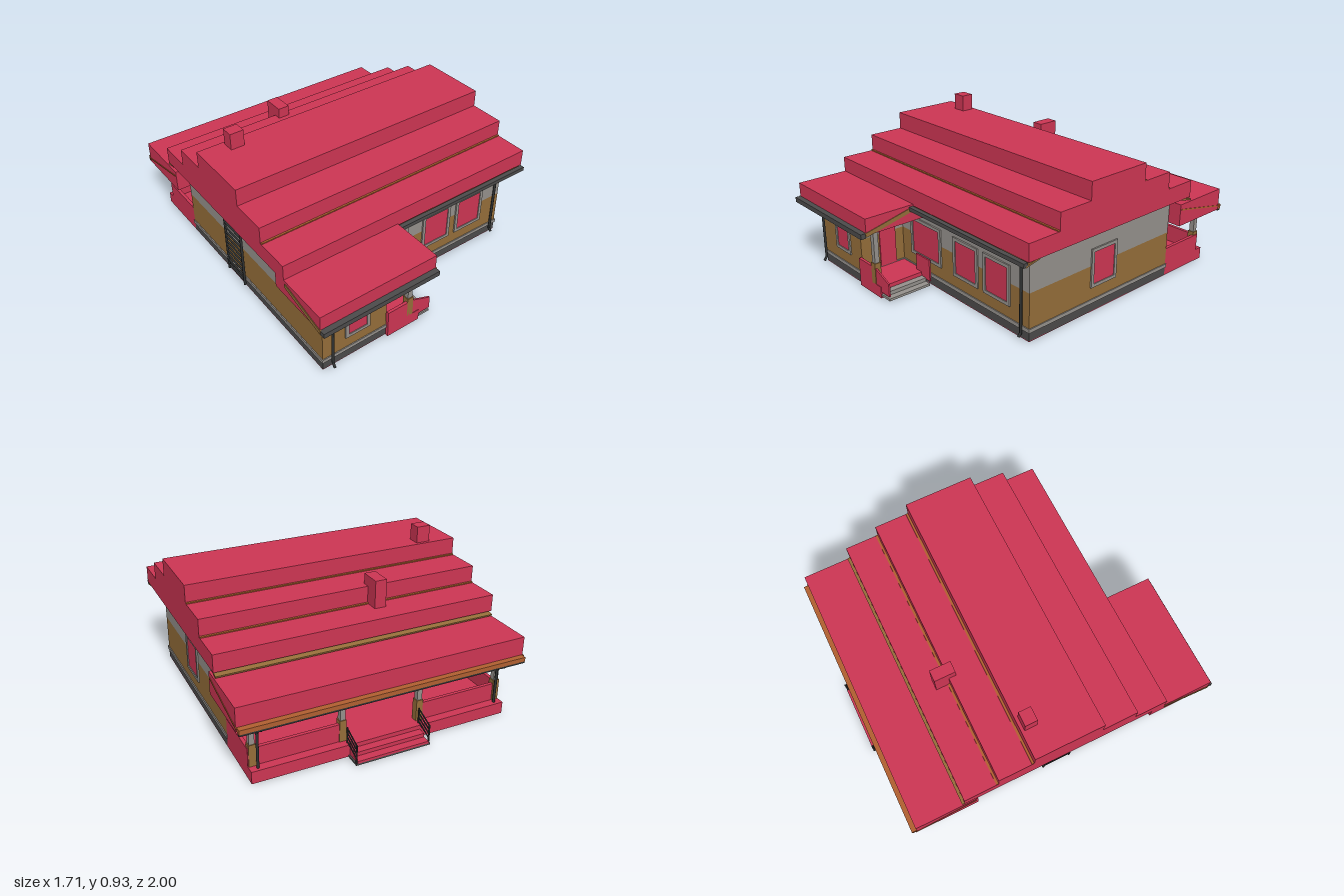
import * as THREE from 'three';

const mat = (name, color) => {
  const m = new THREE.MeshStandardMaterial({ color });
  m.name = name;
  return m;
};

export function createModel() {
  const model = new THREE.Group();
  model.name = 'house';
  const red = mat('crimson', 0xcc3553);
  const grey = mat('warmGrey', 0x94908b);
  const brown = mat('ochreBrown', 0x946d39);
  const dark = mat('foundationGrey', 0x4b4a4a);
  const black = mat('metalBlack', 0x2e3030);
  const orange = mat('timberOrange', 0xb05f30);

  // Box from its limits on each axis
  const box = (name, m, x0, x1, y0, y1, z0, z1, parent = model) => {
    const mesh = new THREE.Mesh(new THREE.BoxGeometry(x1 - x0, y1 - y0, z1 - z0), m);
    mesh.position.set((x0 + x1) / 2, (y0 + y1) / 2, (z0 + z1) / 2);
    mesh.name = name;
    parent.add(mesh);
    return mesh;
  };
  // Round bar between two points
  const bar = (name, a, b, r, parent = model) => {
    const p = new THREE.Vector3(...a), q = new THREE.Vector3(...b);
    const d = q.clone().sub(p);
    const mesh = new THREE.Mesh(new THREE.CylinderGeometry(r, r, d.length(), 8), black);
    mesh.position.copy(p).add(q).multiplyScalar(0.5);
    mesh.quaternion.setFromUnitVectors(new THREE.Vector3(0, 1, 0), d.normalize());
    mesh.name = name;
    parent.add(mesh);
  };
  // Chain of bars in a plane of constant x, points are [z, y]
  const pipe = (name, x, pts, r) => {
    const g = new THREE.Group();
    g.name = name;
    for (let i = 0; i + 1 < pts.length; i++) {
      bar(name + 'Section', [x, pts[i][1], pts[i][0]], [x, pts[i + 1][1], pts[i + 1][0]], r, g);
    }
    model.add(g);
  };
  // Plank sloping in z from (z0, y0) to (z1, y1)
  const slope = (name, m, x0, x1, z0, y0, z1, y1, t) => {
    const mesh = new THREE.Mesh(
      new THREE.BoxGeometry(x1 - x0, t, Math.hypot(z1 - z0, y1 - y0)), m);
    mesh.position.set((x0 + x1) / 2, (y0 + y1) / 2, (z0 + z1) / 2);
    mesh.rotation.x = -Math.atan2(y1 - y0, z1 - z0);
    mesh.name = name;
    model.add(mesh);
  };
  // Framed opening facing +z around its own centre, then turned
  const opening = (name, w, h, x, y, z, turn = 0) => {
    const g = new THREE.Group(), f = 0.02, a = w / 2, b = h / 2;
    g.name = name;
    box('pane', red, -a, a, -b, b, 0, 0.004, g);
    for (const s of [-1, 1]) {
      box('frameSide', grey, s * (a + f / 2) - f / 2, s * (a + f / 2) + f / 2, -b - f, b + f, 0, 0.009, g);
      box('frameRail', grey, -a, a, s * (b + f / 2) - f / 2, s * (b + f / 2) + f / 2, 0, 0.009, g);
    }
    g.position.set(x, y, z);
    g.rotation.y = turn;
    model.add(g);
  };

  // Banded walls of the main block and the front annex
  const walls = (name, x0, x1, z0, z1, top) => {
    const g = new THREE.Group();
    g.name = name;
    box('underside', red, x0, x1, 0, 0.004, z0, z1, g);
    box('foundation', dark, x0, x1, 0.004, 0.055, z0, z1, g);
    box('plinthTrim', grey, x0 - 0.006, x1 + 0.006, 0.055, 0.078, z0 - 0.006, z1 + 0.006, g);
    box('lowerWall', brown, x0, x1, 0.078, 0.285, z0, z1, g);
    box('upperWall', grey, x0, x1, 0.285, top, z0, z1, g);
    model.add(g);
  };
  walls('mainBlock', -0.77, 0.77, -0.55, 0.57, 0.52);
  walls('frontAnnex', -0.77, -0.35, 0.57, 0.865, 0.45);

  // Windows and doors
  opening('annexWindow', 0.12, 0.2, -0.545, 0.27, 0.865);
  opening('wideWindow', 0.25, 0.2, -0.11, 0.27, 0.57);
  opening('frontWindow', 0.175, 0.2, 0.257, 0.27, 0.57);
  opening('frontWindow', 0.175, 0.2, 0.518, 0.27, 0.57);
  opening('sideWindow', 0.165, 0.195, 0.77, 0.27, 0.013, Math.PI / 2);
  box('porchDoor', red, -0.35, -0.343, 0.075, 0.315, 0.63, 0.74);
  opening('backDoor', 0.13, 0.24, 0, 0.2, -0.55, Math.PI);

  // Stepped roof
  box('lowerRoofTier', red, -0.85, 0.85, 0.515, 0.617, -0.63, 0.65);
  box('middleRoofTier', red, -0.85, 0.85, 0.617, 0.72, -0.42, 0.44);
  box('upperRoofTier', red, -0.85, 0.85, 0.72, 0.825, -0.205, 0.22);
  for (const [z, y] of [[0.444, 0.617], [-0.427, 0.617], [-0.212, 0.72]]) {
    box('roofSeam', orange, -0.848, 0.848, y, y + 0.006, z - 0.007, z + 0.007);
  }
  slope('frontSoffit', brown, -0.11, 0.845, 0.57, 0.513, 0.665, 0.493, 0.01);
  slope('backSoffit', brown, -0.845, 0.845, -0.645, 0.495, -0.55, 0.515, 0.01);
  box('tallChimney', red, -0.685, -0.6, 0.825, 0.925, -0.185, -0.11);
  box('lowChimney', red, -0.21, -0.14, 0.617, 0.783, -0.505, -0.375);

  // Front porch roof and veranda roof, with barge boards on the ends
  box('porchRoof', red, -0.85, -0.11, 0.425, 0.525, 0.57, 0.967);
  for (const x of [-0.85, -0.11]) {
    slope('porchBargeBoard', brown, x - 0.004, x + 0.004, 0.66, 0.498, 0.97, 0.428, 0.025);
  }
  box('verandaRoof', red, -0.85, 0.85, 0.35, 0.485, -0.935, -0.55);
  for (const x of [-0.85, 0.85]) {
    slope('verandaBargeBoard', orange, x - 0.003, x + 0.003, -0.945, 0.372, -0.56, 0.452, 0.008);
  }
  box('verandaFascia', orange, -0.845, 0.845, 0.35, 0.375, -0.968, -0.935);
  box('backGutter', black, -0.845, 0.845, 0.338, 0.35, -0.965, -0.943);
  box('porchGutter', dark, -0.85, -0.11, 0.41, 0.44, 0.967, 1);
  box('frontGutter', dark, -0.11, 0.845, 0.492, 0.515, 0.652, 0.68);

  // Downpipes
  pipe('frontDownpipe', 0.72, [[0.668, 0.5], [0.6, 0.455], [0.583, 0.44], [0.583, 0.04], [0.6, 0.02]], 0.008);
  pipe('annexDownpipe', -0.725, [[0.985, 0.42], [0.975, 0.4], [0.905, 0.37], [0.895, 0.35], [0.895, 0.055], [0.912, 0.03]], 0.008);
  for (const x of [-0.725, 0.725]) {
    pipe('backDownpipe', x, [[-0.952, 0.35], [-0.945, 0.33], [-0.895, 0.3], [-0.885, 0.28], [-0.885, 0.07]], 0.008);
  }

  // Two-tone posts
  const post = (name, x, z) => {
    box(name + 'Base', brown, x - 0.02, x + 0.02, 0.07, 0.2, z - 0.02, z + 0.02);
    box(name + 'Shaft', grey, x - 0.015, x + 0.015, 0.2, 0.43, z - 0.015, z + 0.015);
  };

  // Front porch with side steps
  box('porchFloor', red, -0.35, -0.13, 0, 0.072, 0.57, 0.885);
  box('porchParapet', red, -0.35, -0.2, 0.072, 0.176, 0.868, 0.885);
  post('porchPost', -0.197, 0.865);
  box('upperPorchStep', grey, -0.13, -0.09, 0.024, 0.048, 0.6, 0.87);
  box('lowerPorchStep', grey, -0.13, -0.05, 0.012, 0.026, 0.6, 0.88);
  box('rearStepParapet', red, -0.18, -0.05, 0.04, 0.176, 0.59, 0.6);
  const rake = new THREE.Shape([[-0.18, 0.04], [-0.05, 0.04], [-0.05, 0.12], [-0.18, 0.172]]
    .map(p => new THREE.Vector2(...p)));
  const rakeMesh = new THREE.Mesh(
    new THREE.ExtrudeGeometry(rake, { depth: 0.01, bevelEnabled: false }), red);
  rakeMesh.position.z = 0.872;
  rakeMesh.name = 'frontStepParapet';
  model.add(rakeMesh);

  // Back veranda
  box('verandaFloor', red, -0.77, 0.77, 0, 0.072, -0.91, -0.55);
  for (const s of [-1, 1]) {
    const side = s * 0.76, mid = s * 0.495;
    box('verandaSideParapet', red, side - 0.01, side + 0.01, 0.072, 0.178, -0.85, -0.55);
    box('verandaBackParapet', red, mid - 0.275, mid + 0.275, 0.072, 0.178, -0.86, -0.84);
    post('cornerPost', s * 0.745, -0.845);
    post('stairPost', s * 0.235, -0.845);
    // Stair railing
    const x = s * 0.22;
    bar('railPost', [x, 0.06, -0.885], [x, 0.165, -0.885], 0.005);
    bar('railPost', [x, 0.01, -0.992], [x, 0.12, -0.992], 0.005);
    for (let i = 0; i < 4; i++) {
      bar('rail', [x, 0.16 - i * 0.026, -0.885], [x, 0.118 - i * 0.026, -0.992], 0.004);
    }
  }
  box('upperStair', red, -0.215, 0.215, 0.02, 0.047, -0.955, -0.91);
  box('lowerStair', red, -0.215, 0.215, 0.01, 0.024, -1, -0.91);
  box('stairBase', dark, -0.225, 0.225, 0, 0.01, -1, -0.91);

  // Wall ladder on the right side
  for (const z of [-0.08, 0.1]) bar('ladderRail', [-0.788, 0.03, z], [-0.788, 0.53, z], 0.008);
  for (let i = 0; i < 13; i++) {
    const y = 0.06 + i * 0.036;
    bar('ladderRung', [-0.788, y, -0.08], [-0.788, y, 0.1], 0.006);
  }
  return model;
}
